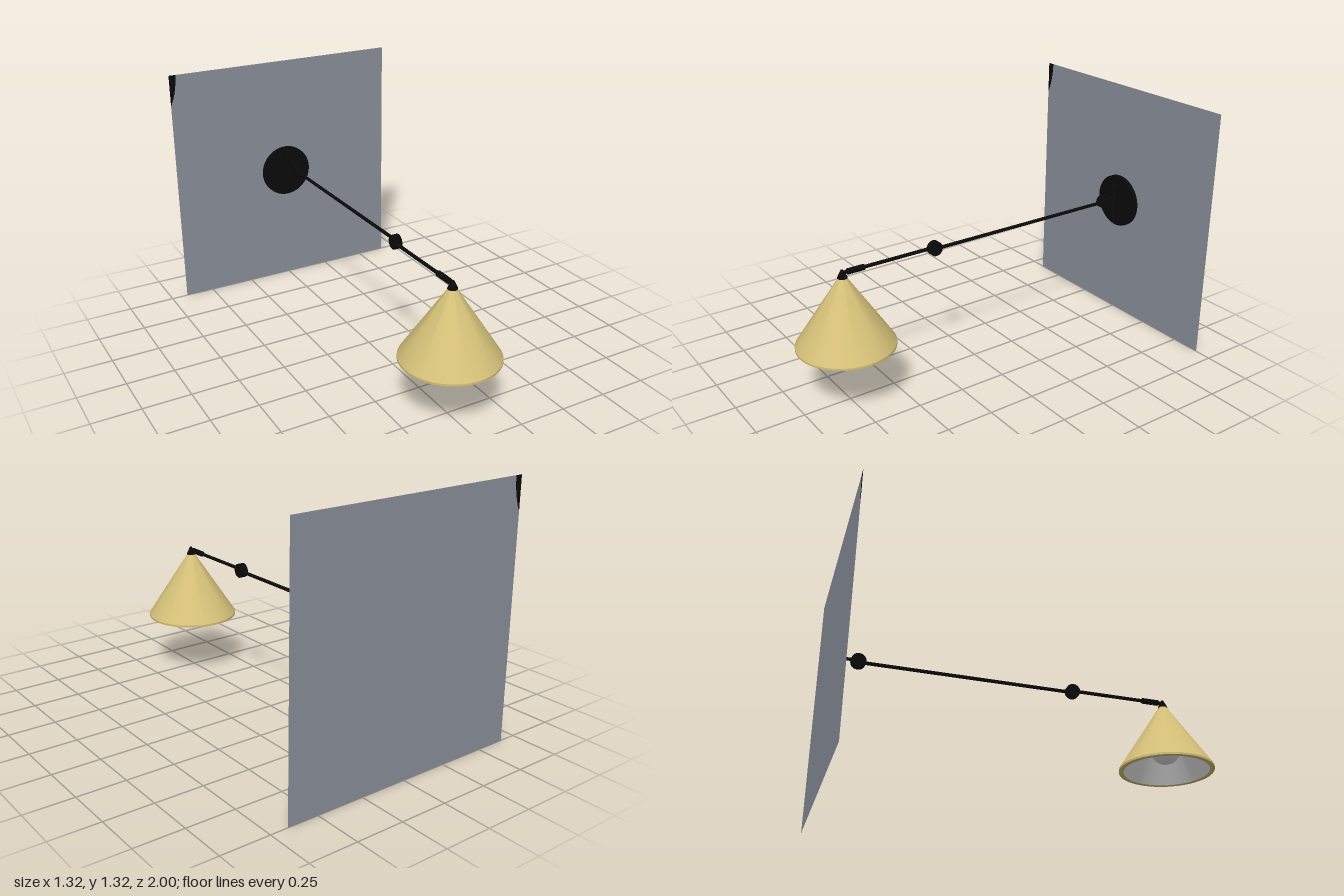
import * as THREE from 'three';
import { toCreasedNormals } from 'three/addons/utils/BufferGeometryUtils.js';

const material = (name, color, side = THREE.FrontSide) => {
  const m = new THREE.MeshStandardMaterial({ color, side });
  m.name = name;
  return m;
};

export function createModel() {
  const black = material('matte black', 0x0a0a0a, THREE.DoubleSide);
  const brass = material('brass', 0xd4c078);
  const white = material('white enamel', 0xececec);
  const glass = material('bulb glass', 0xd8d8d8);
  const grey = material('wall grey', 0x8a909b, THREE.DoubleSide);

  const group = new THREE.Group();
  const add = (name, geometry, mat, x = 0, y = 0, z = 0) => {
    const mesh = new THREE.Mesh(geometry, mat);
    mesh.name = name;
    mesh.position.set(x, y, z);
    group.add(mesh);
    return mesh;
  };
  // Cylinder lying along z, between two depths
  const rodZ = (name, r, z0, z1, x, y) =>
    add(name, new THREE.CylinderGeometry(r, r, z1 - z0, 24).rotateX(Math.PI / 2), black, x, y, (z0 + z1) / 2);
  const lathe = (points) => toCreasedNormals(
    new THREE.LatheGeometry(points.map(([r, y]) => new THREE.Vector2(r, y)), 64), 0.5);

  const armY = 0.692;

  // Wall panel with a curved dark patch in its upper corner
  const W = 0.66, H = 1.32;
  const wall = new THREE.Shape();
  wall.moveTo(-W, 0);
  wall.lineTo(W, 0);
  wall.lineTo(W, H);
  wall.lineTo(-0.622, H);
  wall.quadraticCurveTo(-0.625, 1.22, -W, 1.15);
  add('wallPanel', new THREE.ShapeGeometry(wall), grey, 0, 0, -1);
  const patch = new THREE.Shape();
  patch.moveTo(-W, H);
  patch.lineTo(-W, 1.15);
  patch.quadraticCurveTo(-0.625, 1.22, -0.622, H);
  add('cornerPatch', new THREE.ShapeGeometry(patch), black, 0, 0, -1);

  // Round wall mount with an upright bar held on two pegs
  rodZ('mountPlate', 0.145, -0.997, -0.977, 0, 0.667).geometry =
    new THREE.CylinderGeometry(0.145, 0.145, 0.02, 64).rotateX(Math.PI / 2);
  add('mountBar', new THREE.CylinderGeometry(0.013, 0.013, 0.205, 24), black, 0, 0.667, -0.955);
  for (const y of [0.595, 0.739]) rodZ('mountPeg', 0.008, -0.98, -0.95, 0, y);

  // Arms: the long one runs beside the two short ones
  rodZ('wallArm', 0.008, -0.955, -0.866, 0, armY);
  rodZ('longArm', 0.009, -0.866, 0.246, 0.019, armY);
  rodZ('lampArm', 0.009, 0.246, 0.755, 0, armY);

  // Paired pivot discs at each joint
  for (const z of [-0.866, 0.246]) {
    for (const x of [0, 0.019]) {
      add('pivotDisc', new THREE.CylinderGeometry(0.037, 0.037, 0.015, 32).rotateZ(Math.PI / 2), black, x, armY, z);
    }
  }

  // Sleeve joint at the end of the lamp arm
  rodZ('sleeve', 0.015, 0.638, 0.695, 0, armY);
  rodZ('sleeveCollar', 0.015, 0.702, 0.728, 0, armY);

  // Lamp head: black cap, brass shade, white lining and bulb
  const lampZ = 0.755;
  add('shadeCap', lathe([[0, 0.665], [0.025, 0.667], [0.022, 0.676], [0.006, 0.708], [0, 0.71]]), black, 0, 0, lampZ);
  add('shade', lathe([[0.222, 0.31], [0.246, 0.31], [0.246, 0.321], [0.021, 0.667], [0, 0.667]]), brass, 0, 0, lampZ);
  add('shadeLining', lathe([[0, 0.65], [0.018, 0.645], [0.222, 0.31]]), white, 0, 0, lampZ);
  add('bulb', new THREE.SphereGeometry(0.08, 32, 24), glass, 0, 0.43, lampZ);
  add('bulbNeck', new THREE.CylinderGeometry(0.03, 0.035, 0.11, 24), glass, 0, 0.545, lampZ);

  return group;
}
